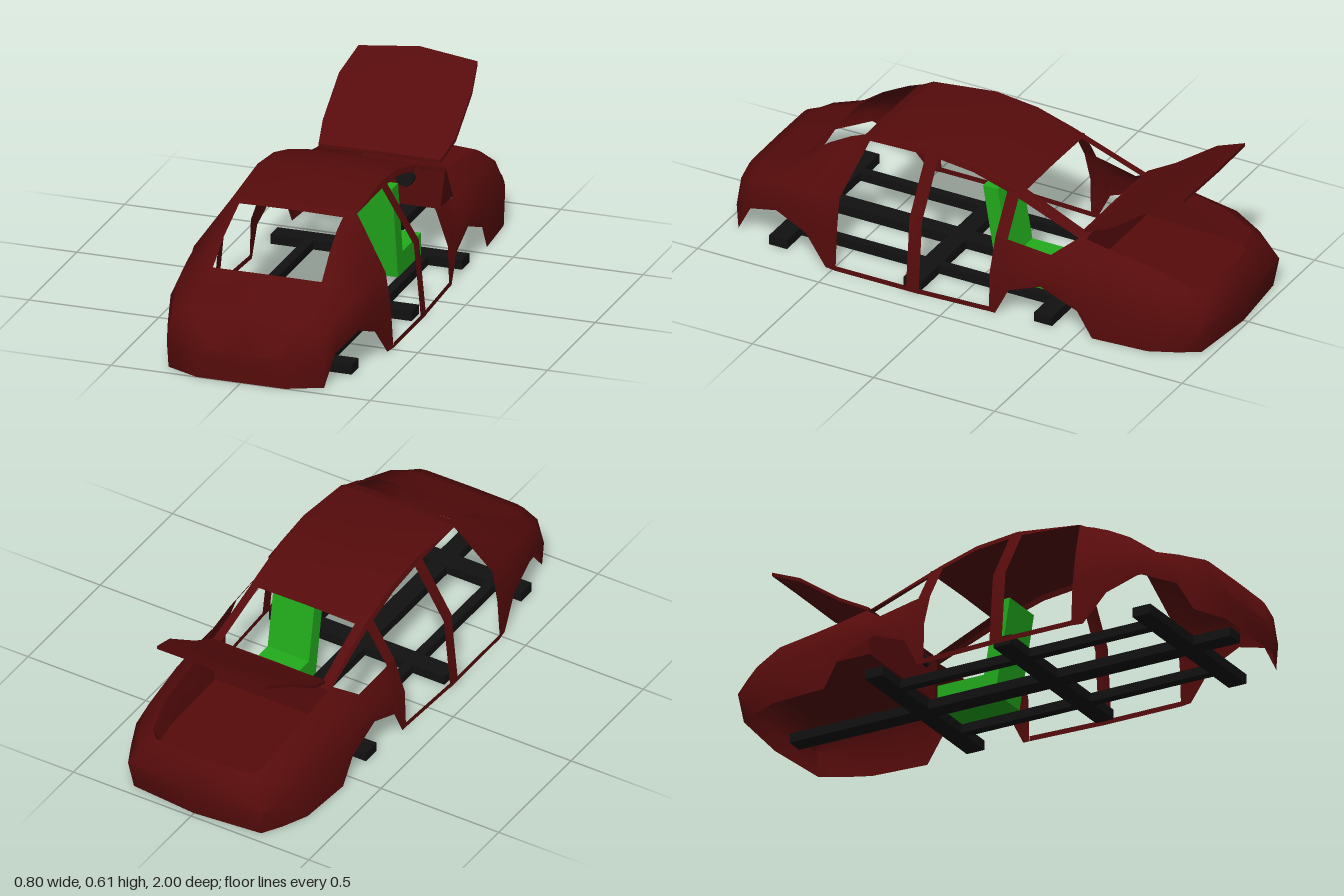
import * as THREE from 'three';
import { mergeVertices, toCreasedNormals } from 'three/addons/utils/BufferGeometryUtils.js';

const paint = new THREE.MeshStandardMaterial({ color: 0x560b0b, side: THREE.DoubleSide });
const black = new THREE.MeshStandardMaterial({ color: 0x111111 });
const green = new THREE.MeshStandardMaterial({ color: 0x22ac1c });

// Skin through stations of [x, y, z] points, mirrored across x = 0.
// skip(station, row) leaves a cell open.
function skin(name, stations, { skip = () => false, crease = 0.6 } = {}) {
  const pos = [];
  const tri = (a, b, c) => {
    const [A, B, C] = [a, b, c].map((p) => new THREE.Vector3(...p));
    if (B.clone().sub(A).cross(C.clone().sub(A)).length() < 1e-7) return;
    pos.push(...a, ...b, ...c);
    const m = ([x, y, z]) => [-x, y, z];
    pos.push(...m(a), ...m(c), ...m(b));
  };
  for (let i = 0; i < stations.length - 1; i++) {
    for (let j = 0; j < stations[i].length - 1; j++) {
      if (skip(i, j)) continue;
      const a = stations[i][j], b = stations[i + 1][j];
      const c = stations[i + 1][j + 1], d = stations[i][j + 1];
      tri(a, b, c);
      tri(a, c, d);
    }
  }
  const g = new THREE.BufferGeometry();
  g.setAttribute('position', new THREE.Float32BufferAttribute(pos, 3));
  const mesh = new THREE.Mesh(toCreasedNormals(mergeVertices(g), crease), paint);
  mesh.name = name;
  return mesh;
}

function box(name, mat, x0, x1, y0, y1, z0, z1) {
  const g = new THREE.BoxGeometry(x1 - x0, y1 - y0, z1 - z0);
  g.translate((x0 + x1) / 2, (y0 + y1) / 2, (z0 + z1) / 2);
  const mesh = new THREE.Mesh(g, mat);
  mesh.name = name;
  return mesh;
}

export function createModel() {
  const car = new THREE.Group();
  car.name = 'carShell';

  // Tail end and wings: rows run sill, side, belt, shoulder, window edge, middle
  const door = [[0.4, 0, 0.485], [0.39, 0.16, 0.485], [0.37, 0.29, 0.485]];
  const tail = [
    [[0, 0, 1], [0, 0.06, 1], [0, 0.11, 1], [0, 0.11, 1], [0, 0.11, 1], [0, 0.11, 1]],
    [[0.17, 0, 1], [0.17, 0.06, 1], [0.16, 0.11, 1], [0.13, 0.11, 1], [0.1, 0.11, 1], [0, 0.11, 1]],
    [[0.3, 0, 0.94], [0.305, 0.1, 0.945], [0.28, 0.2, 0.94], [0.22, 0.23, 0.94], [0.19, 0.235, 0.94], [0, 0.237, 0.94]],
    [[0.32, 0.11, 0.88], [0.325, 0.15, 0.88], [0.305, 0.23, 0.88], [0.235, 0.25, 0.88], [0.2, 0.255, 0.88], [0, 0.26, 0.88]],
    [[0.362, 0.16, 0.75], [0.362, 0.2, 0.75], [0.333, 0.265, 0.75], [0.24, 0.297, 0.75], [0.21, 0.317, 0.72], [0, 0.318, 0.72]],
    [[0.378, 0.11, 0.62], [0.377, 0.2, 0.62], [0.35, 0.28, 0.62], [0.238, 0.385, 0.62], [0.205, 0.4, 0.62], [0, 0.4, 0.62]],
    [[0.393, 0, 0.53], [0.386, 0.18, 0.53], [0.36, 0.287, 0.53], [0.238, 0.435, 0.53], [0.2, 0.45, 0.53], [0, 0.45, 0.53]],
    [...door, [0.24, 0.458, 0.47], [0.2, 0.475, 0.47], [0, 0.478, 0.47]],
    [...door, [0.24, 0.48, 0.43], [0.205, 0.487, 0.43], [0, 0.49, 0.43]],
  ];
  car.add(skin('rearBody', tail, { skip: (i, j) => j === 4 && i >= 4 && i <= 6, crease: 1 }));

  // Roof running on into the windscreen posts and cowl; the side lip fades in at the back
  const roof = [[0.43, 0.49], [0.17, 0.52], [0, 0.502], [-0.15, 0.458], [-0.2, 0.44], [-0.44, 0.345], [-0.47, 0.337]]
    .map(([z, y], i) => {
      const low = i > 4 ? 0.012 : 0;
      const shoulder = [0.24 + low, y - (i ? 0.008 : 0.01), z];
      const lip = i ? [0.248 + low, y - 0.028 + low, z] : shoulder;
      return [lip, shoulder, [0.205 + low, y - 0.003, z], [0, y, z]];
    });
  car.add(skin('roof', roof, { skip: (i, j) => i === 4 && j === 2 }));

  // Front wings and nose: rows run sill, side, belt, bay rim
  const wing = [
    [[0.385, 0, -0.14], [0.38, 0.16, -0.14], [0.335, 0.29, -0.14], [0.335, 0.29, -0.14]],
    [[0.385, 0, -0.165], [0.38, 0.18, -0.19], [0.335, 0.29, -0.19], [0.335, 0.29, -0.19]],
    [[0.385, 0.11, -0.22], [0.38, 0.2, -0.23], [0.333, 0.286, -0.22], [0.333, 0.286, -0.22]],
    [[0.381, 0.16, -0.35], [0.378, 0.205, -0.35], [0.32, 0.265, -0.36], [0.32, 0.265, -0.36]],
    [[0.38, 0.1, -0.5], [0.378, 0.19, -0.48], [0.325, 0.275, -0.46], [0.257, 0.335, -0.45]],
    [[0.376, 0, -0.56], [0.373, 0.16, -0.56], [0.327, 0.265, -0.57], [0.255, 0.312, -0.57]],
    [[0.36, 0, -0.78], [0.362, 0.14, -0.79], [0.315, 0.24, -0.78], [0.25, 0.28, -0.77]],
    [[0.315, 0, -0.88], [0.323, 0.12, -0.89], [0.287, 0.2, -0.89], [0.232, 0.232, -0.885]],
    [[0.27, 0, -0.955], [0.285, 0.11, -0.972], [0.25, 0.18, -0.95], [0.2, 0.222, -0.92]],
    [[0, 0, -0.98], [0, 0.11, -1], [0, 0.19, -0.965], [0, 0.226, -0.94]],
  ];
  car.add(skin('frontBody', wing, { crease: 1 }));

  // Engine bay: inner walls down from the rim, floor and firewall
  const bayY = 0.17;
  const bay = wing.slice(4).map((s) => {
    const [x, y, z] = s[3];
    const inX = x * 0.92, inZ = z < -0.85 ? z + 0.02 : z;
    return [[x, y, z], [inX, bayY, inZ], [0, bayY, inZ]];
  });
  bay.unshift([[0.257, 0.335, -0.45], [0.257, 0.335, -0.45], [0, 0.337, -0.45]]);
  car.add(skin('engineBay', bay, { crease: 0.4 }));

  // Door posts and sills
  const post = (z0, z1, pts) => [z0, z1].map((z) => pts.map(([x, y]) => [x, y, z]));
  car.add(skin('middleDoorPosts', post(0.195, 0.143, [[0.4, 0], [0.372, 0.29], [0.245, 0.5]])));
  car.add(skin('frontDoorPosts', post(-0.14, -0.19, [[0.335, 0.29], [0.243, 0.437]])));
  const sill = [[0.4, 0.485], [0.4, 0.17], [0.385, -0.14]];
  car.add(skin('doorSills', sill.map(([x, z]) => [[x, 0, z], [x, 0.02, z]])));

  // Raised bonnet as a thin closed panel
  const t = 0.014;
  const bonnet = [
    [0.235, 0.358, 0.358, -0.455, -0.46], [0.257, 0.41, 0.413, -0.56, -0.56],
    [0.257, 0.53, 0.538, -0.73, -0.735], [0.23, 0.592, 0.612, -0.86, -0.88],
  ].map(([x, ye, yc, ze, zc]) => [[0, yc - t, zc], [x, ye - t, ze], [x, ye, ze], [0, yc, zc]]);
  const close = (s) => [s[0], s[1], s[1], s[0]];
  car.add(skin('bonnet', [close(bonnet[0]), ...bonnet, close(bonnet[3])], { crease: 0.5 }));

  // Chassis: spine, side rails and three cross beams
  const chassis = new THREE.Group();
  chassis.name = 'chassis';
  chassis.add(box('spine', black, -0.036, 0.036, 0.001, 0.037, -0.9, 0.94));
  for (const x of [-0.222, 0.222]) {
    chassis.add(box('sideRail', black, x - 0.018, x + 0.018, 0.002, 0.036, -0.355, 0.75));
  }
  for (const [z, half] of [[0.75, 0.35], [0.182, 0.373], [-0.355, 0.37]]) {
    chassis.add(box('crossBeam', black, -half, half, 0.001, 0.038, z - 0.037, z + 0.037));
  }
  car.add(chassis);

  // Driver's seat: cushion and leaning backrest
  const seat = new THREE.Group();
  seat.name = 'seat';
  seat.add(box('seatCushion', green, 0.035, 0.21, 0.038, 0.122, -0.322, -0.1));
  const side = new THREE.Shape([[0.02, 0.405], [0.08, 0.405], [0.142, 0.038], [0.08, 0.038]]
    .map(([a, b]) => new THREE.Vector2(a, b)));
  const back = new THREE.Mesh(new THREE.ExtrudeGeometry(side, { depth: 0.175, bevelEnabled: false }), green);
  back.name = 'seatBack';
  back.rotation.y = Math.PI / 2;
  back.position.x = 0.035;
  seat.add(back);
  car.add(seat);

  // Steering wheel
  const wheel = new THREE.Mesh(new THREE.CylinderGeometry(0.038, 0.038, 0.012, 20), black);
  wheel.name = 'steeringWheel';
  wheel.rotation.x = 1.15;
  wheel.position.set(0.11, 0.29, -0.428);
  car.add(wheel);

  return car;
}
